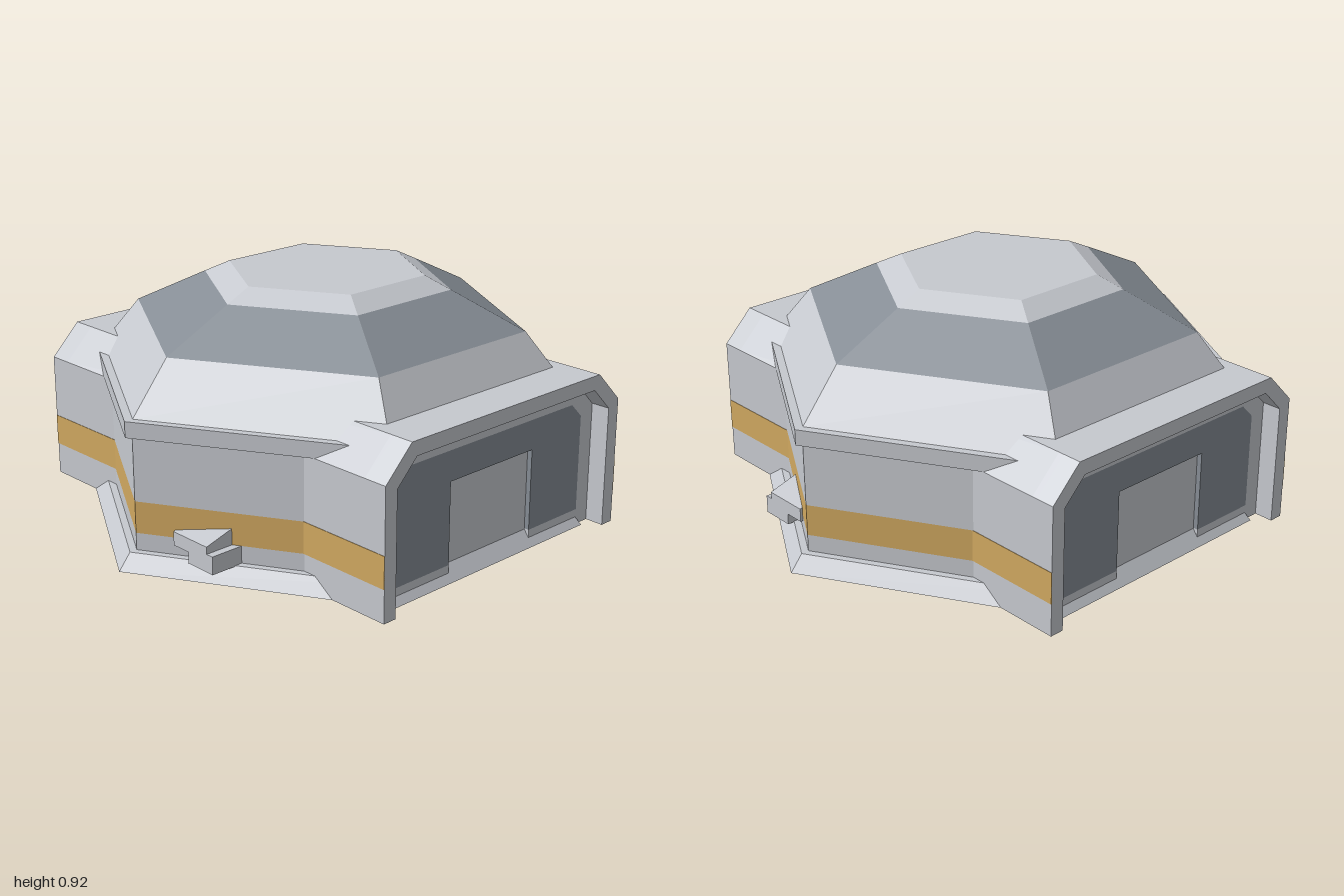
import * as THREE from 'three';

const light = new THREE.MeshStandardMaterial({ color: 0xc6c9cf });
light.name = 'pale grey panel';
const dark = new THREE.MeshStandardMaterial({ color: 0x868d95 });
dark.name = 'slate grey panel';
const yellow = new THREE.MeshStandardMaterial({ color: 0xd0a860 });
yellow.name = 'ochre stripe';

function add(parent, name, geometry, material, x = 0, y = 0, z = 0) {
  const mesh = new THREE.Mesh(geometry, material);
  mesh.name = name;
  mesh.position.set(x, y, z);
  parent.add(mesh);
  return mesh;
}

// Hexagonal frustum with two corners on the x axis
function hex(parent, name, material, r0, r1, y0, y1, open = false) {
  let g = new THREE.CylinderGeometry(r1, r0, y1 - y0, 6, 1, open);
  g.rotateY(Math.PI / 2);
  g = g.toNonIndexed();
  g.computeVertexNormals();
  return add(parent, name, g, material, 0, (y0 + y1) / 2, 0);
}

// Outline of an arch with chamfered upper corners, from left foot to right foot
function arch(w, h, c, y0 = 0) {
  const half = [[w, y0], [w, h - c], [w - c, h]];
  const left = half.map(([x, y]) => [-x, y]);
  return [...left, ...half.reverse()];
}

function extrude(points, depth) {
  const shape = new THREE.Shape(points.map(([x, y]) => new THREE.Vector2(x, y)));
  return new THREE.ExtrudeGeometry(shape, { depth, bevelEnabled: false });
}

// Arch with a smaller arch cut out through its bottom edge
function archRing(outer, inner, depth) {
  return extrude([...outer, ...[...inner].reverse()], depth);
}

function createPortal() {
  const portal = new THREE.Group();
  const outer = arch(0.61, 0.61, 0.12);
  const front = 0.92, face = 0.845, door = 0.825;

  add(portal, 'portalFrame', archRing(outer, arch(0.555, 0.555, 0.09), front - face), light, 0, 0, face);
  add(portal, 'portalSurround', archRing(outer, arch(0.49, 0.487, 0.055), face - door), light, 0, 0, door);

  // Dark wall around the recessed door
  const doorway = [[-0.215, 0.06], [-0.215, 0.372], [0.215, 0.372], [0.215, 0.06]];
  add(portal, 'portalPanel', archRing(arch(0.49, 0.487, 0.055, 0.06), doorway, face - door), dark, 0, 0, door);
  for (const s of [-1, 1]) {
    add(portal, 'panelFoot', new THREE.BoxGeometry(0.275, 0.06, face - door), light,
      s * 0.3525, 0.03, (face + door) / 2);
    add(portal, 'portalStripe', new THREE.BoxGeometry(0.003, 0.12, 0.39), yellow, s * 0.61, 0.185, 0.725);
  }
  return portal;
}

// Small equipment housing half sunk into the side wall
function createHousing() {
  const housing = new THREE.Group();
  const hood = extrude([[0.6, 0.1], [0.855, 0.1], [0.855, 0.152], [0.6, 0.228]], 0.18);
  add(housing, 'housingHood', hood, light, 0, 0, 0.13);
  add(housing, 'housingBase', new THREE.BoxGeometry(0.255, 0.068, 0.13), light, 0.7275, 0.091, 0.275);
  return housing;
}

export function createModel() {
  const model = new THREE.Group();
  model.name = 'domedShelter';

  // Foundation, walls and eave
  hex(model, 'foundation', light, 1.0, 0.95, 0, 0.06);
  hex(model, 'lowerWall', light, 0.92, 0.92, 0.06, 0.125, true);
  hex(model, 'wallStripe', yellow, 0.92, 0.92, 0.125, 0.245, true);
  hex(model, 'upperWall', light, 0.92, 0.92, 0.245, 0.49, true);
  hex(model, 'eave', light, 0.95, 0.95, 0.49, 0.55);

  // Stepped dome roof
  hex(model, 'lowerRoof', light, 0.915, 0.76, 0.55, 0.738, true);
  hex(model, 'middleRoof', dark, 0.76, 0.48, 0.738, 0.873, true);
  hex(model, 'upperRoof', light, 0.48, 0.38, 0.873, 0.92);

  // Passage running through the building, with a portal at each end
  add(model, 'passage', extrude(arch(0.61, 0.61, 0.12), 1.65), light, 0, 0, -0.825);
  const frontPortal = createPortal();
  frontPortal.name = 'frontPortal';
  const backPortal = createPortal();
  backPortal.name = 'backPortal';
  backPortal.rotation.y = Math.PI;
  model.add(frontPortal, backPortal);

  // Housings on both sides
  const leftHousing = createHousing();
  leftHousing.name = 'leftHousing';
  const rightHousing = createHousing();
  rightHousing.name = 'rightHousing';
  rightHousing.scale.x = -1;
  model.add(leftHousing, rightHousing);

  // Stripes on the underside
  for (const s of [-1, 1]) {
    add(model, 'undersideStripe', new THREE.BoxGeometry(0.05, 0.004, 0.44), yellow, s * 0.33, 0.001, 0.12);
  }
  return model;
}
